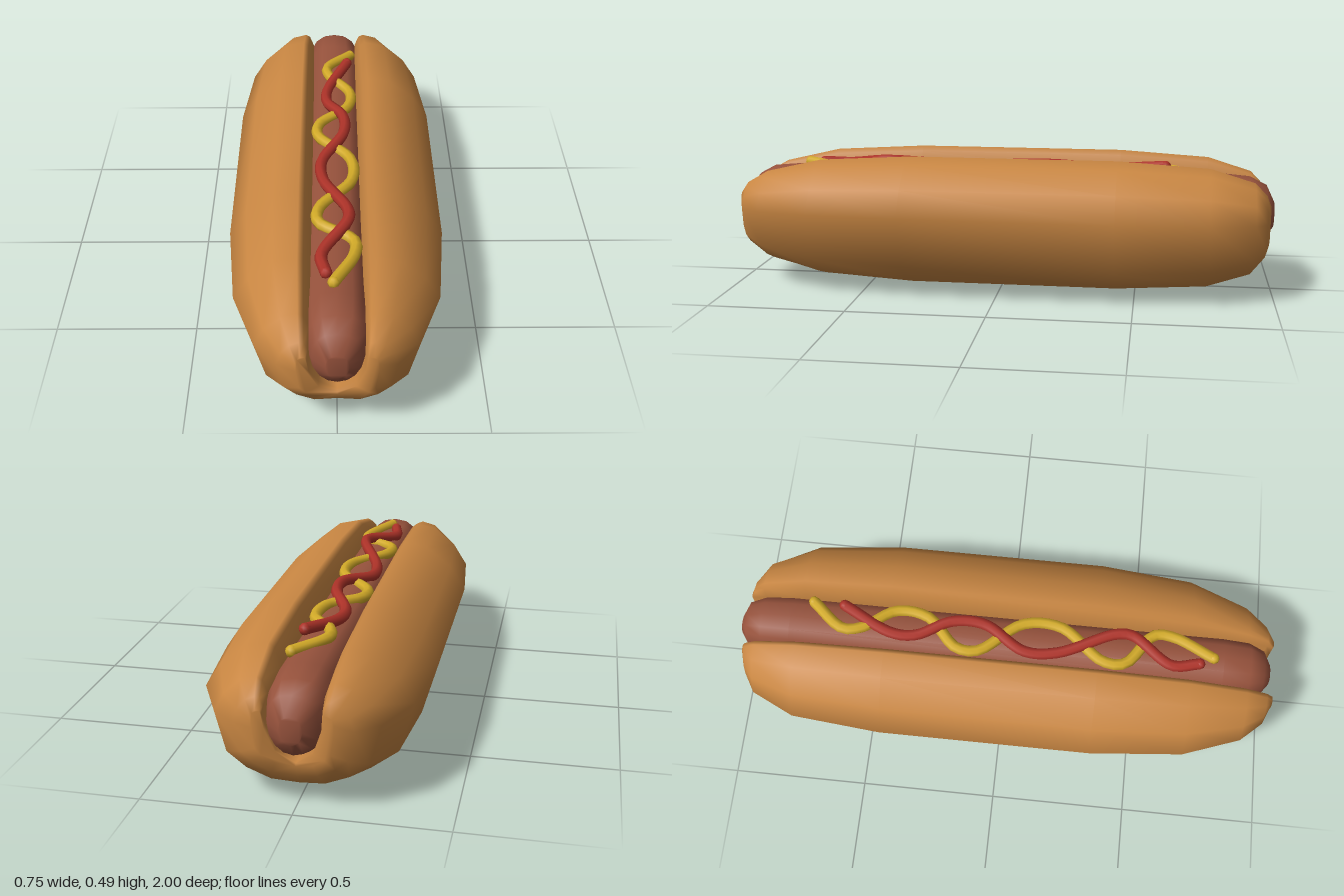
import * as THREE from 'three';

// Skin a stack of closed rings (counter-clockwise seen from +z, ordered by rising z) and cap both ends
function loft(rings) {
  const n = rings[0].length, last = (rings.length - 1) * n, index = [];
  for (let j = 0; j < rings.length - 1; j++) {
    for (let i = 0; i < n; i++) {
      const a = j * n + i, b = j * n + (i + 1) % n;
      index.push(a, b, b + n, a, b + n, a + n);
    }
  }
  const flat = (ring) => ring.map((p) => new THREE.Vector2(p.x, p.y));
  for (const [a, b, c] of THREE.ShapeUtils.triangulateShape(flat(rings[0]), [])) index.push(a, c, b);
  for (const [a, b, c] of THREE.ShapeUtils.triangulateShape(flat(rings.at(-1)), [])) index.push(last + a, last + b, last + c);
  const geometry = new THREE.BufferGeometry().setFromPoints(rings.flat());
  geometry.setIndex(index);
  geometry.computeVertexNormals();
  return geometry;
}

// Half section of the bun, from the bottom centre around the side into the slot:
// full-size x, y, then the x, y it shrinks to at the ends
const bunHalf = [
  [0, 0.002, 0, 0.14], [0.11, 0.01, 0.06, 0.16], [0.22, 0.045, 0.10, 0.19],
  [0.32, 0.12, 0.12, 0.21], [0.375, 0.31, 0.13, 0.28], [0.315, 0.40, 0.13, 0.31],
  [0.22, 0.475, 0.125, 0.33], [0.13, 0.493, 0.115, 0.34], [0.11, 0.475, 0.10, 0.34],
  [0.085, 0.41, 0.095, 0.33], [0.085, 0.30, 0.09, 0.28], [0.06, 0.20, 0.06, 0.20],
  [0, 0.15, 0, 0.15],
];

function bunRing(z, size) {
  const half = bunHalf.map(([x, y, cx, cy]) => {
    const px = THREE.MathUtils.lerp(cx, x, size);
    const py = THREE.MathUtils.lerp(cy, y, size);
    const dip = 0.04 * (1 - size) * Math.max(0, 1 - px / 0.1); // ends recede below the sausage
    return new THREE.Vector3(px, py, z - Math.sign(z) * dip);
  });
  const mirrored = half.slice(1, -1).reverse().map((p) => new THREE.Vector3(-p.x, p.y, p.z));
  return [...half, ...mirrored];
}

function sausageRing(z, size) {
  const ring = [];
  for (let i = 0; i < 16; i++) {
    const a = (i / 16) * Math.PI * 2, c = Math.cos(a), s = Math.sin(a);
    const power = s > 0 ? 0.78 : 1; // flatter top, round underside
    const x = Math.sign(c) * Math.abs(c) ** power * 0.108;
    const y = Math.sign(s) * Math.abs(s) ** power * 0.135;
    ring.push(new THREE.Vector3(x * size, 0.3 - 0.02 * (1 - size) + y * size, z));
  }
  return ring;
}

// Squiggle of sauce with rounded ends; height follows x
function sauce(name, color, path, height) {
  const group = new THREE.Group();
  group.name = name;
  const material = new THREE.MeshStandardMaterial({ color });
  const points = path.map(([x, z]) => new THREE.Vector3(x, height(x), z));
  const curve = new THREE.CatmullRomCurve3(points);
  const line = new THREE.Mesh(new THREE.TubeGeometry(curve, 60, 0.021, 8), material);
  line.name = name + 'Line';
  group.add(line);
  for (const p of [points[0], points.at(-1)]) {
    const end = new THREE.Mesh(new THREE.SphereGeometry(0.021, 8, 6), material);
    end.name = name + 'End';
    end.position.copy(p);
    group.add(end);
  }
  return group;
}

export function createModel() {
  const model = new THREE.Group();
  model.name = 'hotDog';
  const add = (name, geometry, color) => {
    const mesh = new THREE.Mesh(geometry, new THREE.MeshStandardMaterial({ color }));
    mesh.name = name;
    model.add(mesh);
  };

  // Split bun: [z, size] stations
  const bunStations = [
    [-0.98, 0], [-0.965, 0.25], [-0.92, 0.55], [-0.76, 0.87], [-0.43, 1],
    [0.34, 1], [0.68, 0.87], [0.89, 0.55], [0.97, 0.25], [0.997, 0],
  ];
  add('bun', loft(bunStations.map(([z, s]) => bunRing(z, s))), 0xc88642);

  // Sausage resting in the slot
  const sausageStations = [
    [-1, 0.35], [-0.97, 0.75], [-0.91, 0.94], [-0.8, 1],
    [0.8, 1], [0.9, 0.94], [0.955, 0.75], [0.987, 0.35],
  ];
  add('sausage', loft(sausageStations.map(([z, s]) => sausageRing(z, s))), 0x96523c);

  // Sauces
  model.add(sauce('mustard', 0xd2aa28, [
    [0.065, -0.72], [-0.03, -0.6], [-0.02, -0.53], [0.06, -0.41], [0.045, -0.29],
    [-0.06, -0.18], [-0.065, -0.1], [0.055, 0.06], [0.055, 0.2], [-0.06, 0.36],
    [-0.06, 0.44], [0.06, 0.54], [0.06, 0.61], [-0.01, 0.76],
  ], (x) => 0.441 - 2 * x * x));
  model.add(sauce('ketchup', 0xac3228, [
    [0.05, -0.6], [-0.03, -0.42], [-0.03, -0.33], [0.03, -0.2], [0.03, -0.08],
    [-0.05, 0.07], [-0.045, 0.19], [0.04, 0.4], [0.04, 0.46], [-0.05, 0.61], [-0.035, 0.71],
  ], (x) => 0.449 + 0.3 * x));
  return model;
}
